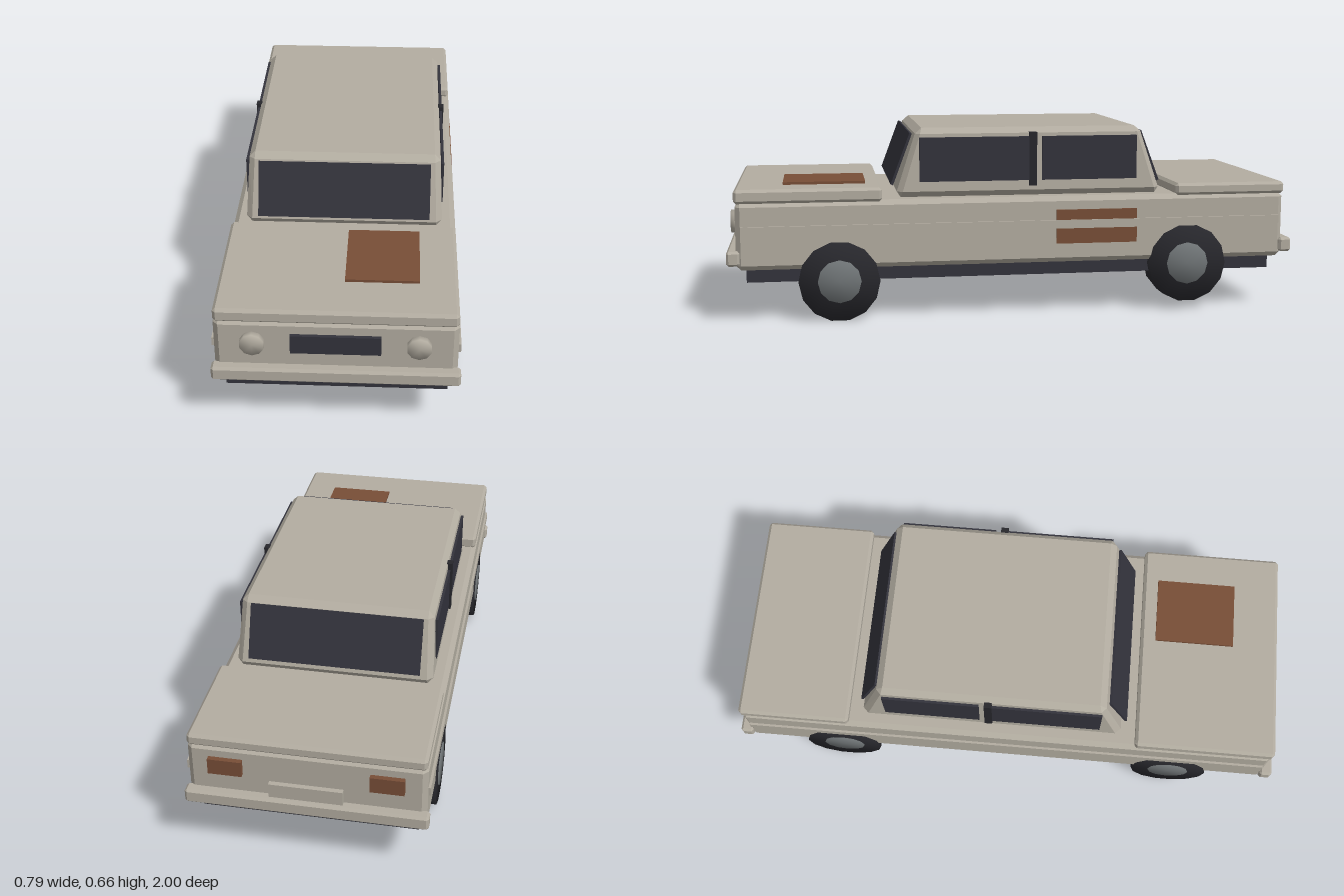
import * as THREE from 'three';
import { mergeVertices } from 'three/addons/utils/BufferGeometryUtils.js';
import { ConvexGeometry } from 'three/addons/geometries/ConvexGeometry.js';

const mat = (name, color) => Object.assign(new THREE.MeshStandardMaterial({ color }), { name });

// Box with flat chamfered edges; warp may move each corner point
function chamferBox(w, h, d, b, warp = (p) => p) {
  const points = [];
  for (const sx of [-1, 1]) for (const sy of [-1, 1]) for (const sz of [-1, 1]) {
    const x = w / 2, y = h / 2, z = d / 2;
    points.push(
      new THREE.Vector3(sx * x, sy * (y - b), sz * (z - b)),
      new THREE.Vector3(sx * (x - b), sy * y, sz * (z - b)),
      new THREE.Vector3(sx * (x - b), sy * (y - b), sz * z),
    );
  }
  return new ConvexGeometry(points.map(warp));
}

// Cylinder with normals blended over the rim
function softDisc(radius, depth, sides) {
  const g = new THREE.CylinderGeometry(radius, radius, depth, sides);
  g.deleteAttribute('normal');
  g.deleteAttribute('uv');
  const merged = mergeVertices(g, 1e-4);
  merged.computeVertexNormals();
  return merged;
}

export function createModel() {
  const paint = mat('paint', 0xb3ada1);
  const glass = mat('glass', 0x33333c);
  const rubber = mat('rubber', 0x27272c);
  const rust = mat('rust', 0x784e37);
  const steel = mat('steel', 0x707577);
  const car = new THREE.Group();
  car.name = 'car';

  const add = (name, geometry, material, x = 0, y = 0, z = 0, parent = car) => {
    const mesh = new THREE.Mesh(geometry, material);
    mesh.name = name;
    mesh.position.set(x, y, z);
    parent.add(mesh);
    return mesh;
  };
  // Place a box by its lower and upper limits, chamfered when bevel is given
  const block = (name, material, [x0, x1], [y0, y1], [z0, z1], bevel = 0) => {
    const s = [x1 - x0, y1 - y0, z1 - z0];
    const g = bevel ? chamferBox(...s, bevel) : new THREE.BoxGeometry(...s);
    return add(name, g, material, (x0 + x1) / 2, (y0 + y1) / 2, (z0 + z1) / 2);
  };

  // Lower body, lids and bumpers
  block('underbody', glass, [-0.357, 0.357], [0.14, 0.21], [-0.925, 0.935]);
  block('body', paint, [-0.385, 0.385], [0.185, 0.42], [-0.968, 0.968], 0.017);
  block('hood', paint, [-0.383, 0.383], [0.414, 0.463], [0.47, 0.972], 0.01);
  block('trunkLid', paint, [-0.383, 0.383], [0.414, 0.457], [-0.972, -0.57], 0.01);
  block('frontBumper', paint, [-0.395, 0.395], [0.203, 0.254], [0.955, 1], 0.008);
  block('rearBumper', paint, [-0.395, 0.395], [0.203, 0.254], [-1, -0.955], 0.008);

  // Cabin narrowing towards the roof
  const halfH = 0.12;
  add('cabin', chamferBox(0.68, 2 * halfH, 0.95, 0.02, (p) => {
    const t = (p.y + halfH) / (2 * halfH);
    p.x *= 1 - 0.035 * t;
    p.z *= 1 - 0.165 * t;
    return p;
  }), paint, 0, 0.54, -0.052);

  // Sloping windscreen and rear window
  for (const [name, z, tilt] of [['windscreen', 0.398, -1], ['rearWindow', -0.492, 1]]) {
    const pane = add(name, new THREE.BoxGeometry(0.59, 0.192, 0.009), glass, 0, 0.55, z);
    pane.rotation.x = tilt * 0.36;
  }

  for (const s of [-1, 1]) {
    const side = s > 0 ? 'left' : 'right';
    const span = (a, b) => [Math.min(s * a, s * b), Math.max(s * a, s * b)];
    // Side windows, door pillar and trim strip
    block(`${side}FrontWindow`, glass, span(0.332, 0.341), [0.474, 0.628], [-0.072, 0.338]);
    block(`${side}RearWindow`, glass, span(0.332, 0.341), [0.474, 0.628], [-0.435, -0.094]);
    block(`${side}DoorPillar`, rubber, span(0.325, 0.346), [0.455, 0.643], [-0.075, -0.048]);
    block(`${side}TrimStrip`, paint, span(0.38, 0.393), [0.307, 0.337], [-0.95, 0.95]);

    // Headlights and tail lights
    add(`${side}Headlight`, softDisc(0.04, 0.03, 10), paint, s * 0.262, 0.34, 0.972).rotation.x = Math.PI / 2;
    block(`${side}TailLight`, rust, span(0.205, 0.315), [0.322, 0.378], [-0.985, -0.96]);

    // Wheels; the left front one hangs lower
    for (const [end, z] of [['Front', 0.62], ['Rear', -0.615]]) {
      const wheel = new THREE.Group();
      wheel.name = `${side}${end}Wheel`;
      wheel.position.set(s * 0.344, s > 0 && end === 'Front' ? 0.14 : 0.17, z);
      wheel.rotation.z = -s * Math.PI / 2;
      add('tyre', softDisc(0.14, 0.086, 14), rubber, 0, 0, 0, wheel);
      add('hubcap', softDisc(0.075, 0.03, 12), steel, 0, 0.031, 0, wheel);
      car.add(wheel);
    }
  }

  // Grille and number plate
  block('grille', glass, [-0.143, 0.143], [0.307, 0.374], [0.96, 0.98]);
  block('numberPlate', paint, [-0.12, 0.12], [0.255, 0.305], [-0.985, -0.96]);

  // Rust patches on the hood and left flank
  block('hoodRust', rust, [0.022, 0.26], [0.463, 0.472], [0.523, 0.808]);
  block('flankRust', rust, [0.382, 0.39], [0.253, 0.373], [-0.427, -0.138]);

  return car;
}
